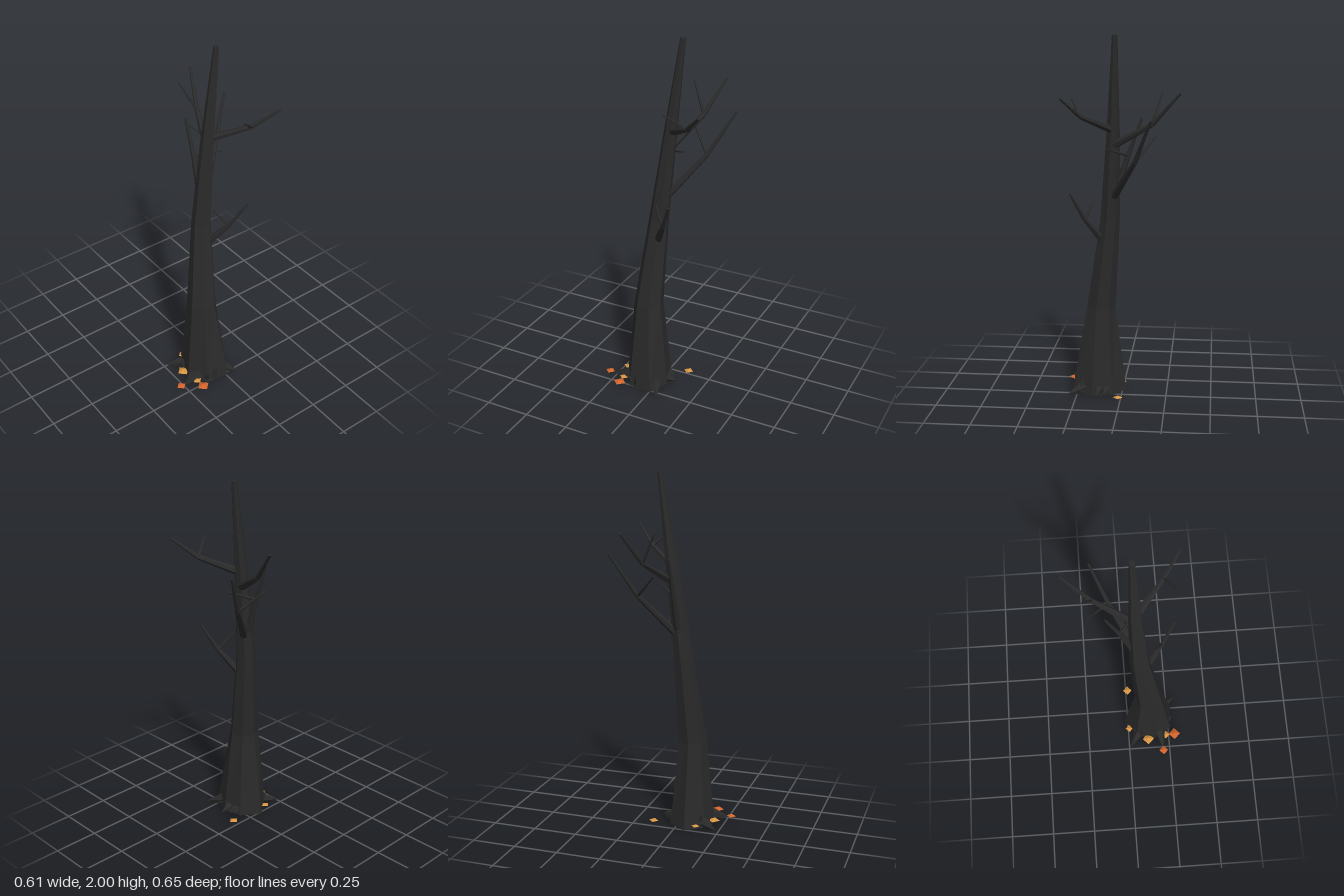
import * as THREE from 'three';

const bark = new THREE.MeshStandardMaterial({ color: 0x2a2a2a, flatShading: true });
bark.name = 'charcoal bark';
const rust = new THREE.MeshStandardMaterial({ color: 0xd2642d, flatShading: true });
rust.name = 'rust leaf';
const amber = new THREE.MeshStandardMaterial({ color: 0xd69443, flatShading: true });
amber.name = 'amber leaf';

const V = (p) => new THREE.Vector3(...p);

// Tapered stick from a to b; tip radius 0 makes a spike
function stick(name, a, b, r0, r1, sides) {
  const from = V(a), dir = V(b).sub(from), len = dir.length();
  const geo = new THREE.CylinderGeometry(r1, r0, len, sides);
  geo.translate(0, len / 2, 0);
  const mesh = new THREE.Mesh(geo, bark);
  mesh.name = name;
  mesh.position.copy(from);
  mesh.quaternion.setFromUnitVectors(new THREE.Vector3(0, 1, 0), dir.normalize());
  return mesh;
}

// Leaning seven-sided trunk lofted through rings of [x, y, z, radius]
function trunk() {
  const rings = [
    [-0.065, 0.01, 0.13, 0.137], [-0.07, 0.5, 0.122, 0.082], [-0.032, 1, 0.067, 0.055],
    [0.025, 1.5, 0.043, 0.036], [0.087, 2, 0.028, 0.015],
  ];
  const flare = [1.1, 0.95, 0.95, 1.06, 1.18, 0.93, 0.95];
  const n = flare.length, pos = [], index = [];
  rings.forEach(([x, y, z, r], k) => {
    for (let i = 0; i < n; i++) {
      const a = -Math.PI / 2 - (i / n) * Math.PI * 2;
      const rad = r * (k === 0 ? flare[i] : 1);
      pos.push(x + Math.cos(a) * rad, y, z + Math.sin(a) * rad);
    }
  });
  for (let k = 0; k < rings.length - 1; k++) {
    for (let i = 0; i < n; i++) {
      const a = k * n + i, b = k * n + (i + 1) % n;
      index.push(a, b, b + n, a, b + n, a + n);
    }
  }
  // End caps
  const top = (rings.length - 1) * n;
  for (let i = 1; i < n - 1; i++) index.push(0, i + 1, i, top, top + i, top + i + 1);
  const geo = new THREE.BufferGeometry();
  geo.setAttribute('position', new THREE.Float32BufferAttribute(pos, 3));
  geo.setIndex(index);
  const flat = geo.toNonIndexed();
  flat.computeVertexNormals();
  const mesh = new THREE.Mesh(flat, bark);
  mesh.name = 'trunk';
  return mesh;
}

export function createModel() {
  const tree = new THREE.Group();
  tree.name = 'bareTree';
  tree.add(trunk());

  // Bent branches, each forking at the elbow: start, elbow, tip, twig tip
  const branches = [
    [[0.01, 1.14, 0.04], [0.175, 1.35, -0.085], [0.3, 1.58, -0.175], [0.045, 1.48, -0.195]],
    [[0.03, 1.42, 0.04], [0.115, 1.54, -0.17], [0.18, 1.71, -0.32], [0.035, 1.7, -0.22]],
    [[0.03, 1.5, 0.045], [0.19, 1.585, 0.195], [0.298, 1.69, 0.288], [0.085, 1.67, 0.255]],
    [[-0.025, 0.88, 0.1], [0.055, 1.02, 0.195], [0.122, 1.17, 0.265], [-0.015, 1.12, 0.145]],
    [[-0.012, 1.16, 0.03], [-0.006, 1.36, -0.035], [-0.005, 1.56, -0.108], [0.11, 1.405, 0.06]],
  ];
  for (const [start, elbow, tip, twig] of branches) {
    const branch = new THREE.Group();
    branch.name = 'branch';
    branch.add(
      stick('lowerBranch', start, elbow, 0.022, 0.013, 6),
      stick('upperBranch', elbow, tip, 0.013, 0.006, 6),
      stick('twig', elbow, twig, 0.009, 0.004, 5),
    );
    tree.add(branch);
  }

  // Pointed roots: base, tip, radius
  const roots = [
    [[-0.13, 0.045, 0.08], [-0.242, 0.02, 0.008], 0.045],
    [[-0.14, 0.045, 0.19], [-0.275, 0.025, 0.212], 0.042],
    [[0.0, 0.045, 0.2], [0.068, 0.015, 0.302], 0.045],
    [[0.01, 0.045, 0.13], [0.11, 0.03, 0.128], 0.045],
    [[0.02, 0.04, 0.08], [0.085, 0.03, 0.095], 0.036],
    [[-0.11, 0.03, 0.235], [-0.135, 0.07, 0.265], 0.028],
    [[-0.08, 0.03, 0.25], [-0.078, 0.1, 0.274], 0.024],
    [[-0.14, 0.03, 0.06], [-0.152, 0.1, 0.028], 0.024],
    [[-0.165, 0.03, 0.09], [-0.182, 0.1, 0.074], 0.022],
    [[0.02, 0.03, 0.22], [0.02, 0.1, 0.215], 0.03],
  ];
  for (const [base, tip, r] of roots) tree.add(stick('root', base, tip, r, 0, 5));

  // Fallen leaves: x, z, size, colour
  const leaves = [
    [-0.279, 0.21, 0.028, rust], [-0.178, 0.285, 0.036, rust],
    [-0.18, 0.23, 0.026, amber], [-0.2, 0.12, 0.036, amber],
    [-0.125, 0.006, 0.024, amber], [0.125, 0.01, 0.028, amber],
  ];
  for (const [x, z, r, mat] of leaves) {
    const leaf = new THREE.Mesh(new THREE.OctahedronGeometry(r), mat);
    leaf.name = 'fallenLeaf';
    leaf.scale.y = 0.4;
    leaf.position.set(x, 0.034, z);
    tree.add(leaf);
  }
  return tree;
}
